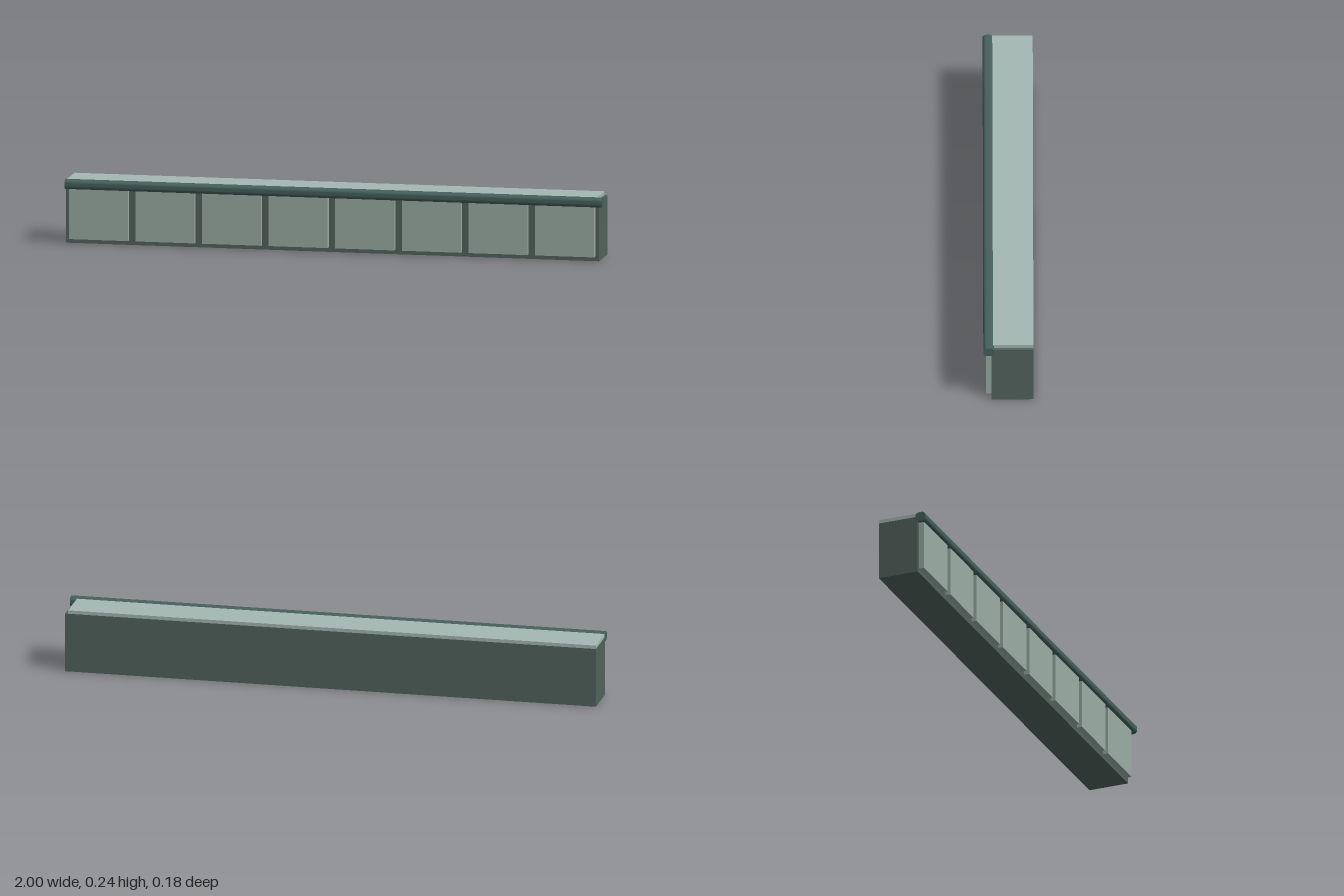
import * as THREE from 'three';

const paint = (color) => new THREE.MeshStandardMaterial({ color });

export function createModel() {
  const group = new THREE.Group();
  const bodyMat = paint(0x52635c), panelMat = paint(0x9aaca4);
  const topMat = paint(0xa5b8b2), railMat = paint(0x45605b);

  // Box given by its lower and upper corners
  const box = (name, mat, [x0, y0, z0], [x1, y1, z1]) => {
    const mesh = new THREE.Mesh(new THREE.BoxGeometry(x1 - x0, y1 - y0, z1 - z0), mat);
    mesh.position.set((x0 + x1) / 2, (y0 + y1) / 2, (z0 + z1) / 2);
    mesh.name = name;
    group.add(mesh);
  };

  // Eight counter sections, each with a raised front panel
  const count = 8, left = -1, pitch = 1.985 / count, margin = 0.014;
  for (let i = 0; i < count; i++) {
    const x0 = left + i * pitch, x1 = x0 + pitch;
    box('counterSection' + (i + 1), bodyMat, [x0, 0, -0.091], [x1, 0.22, 0.062]);
    box('frontPanel' + (i + 1), panelMat, [x0 + margin, 0.017, 0.06], [x1 - margin, 0.203, 0.082]);
  }

  // Worktop slab, slightly shorter than the body
  box('worktop', topMat, [-1, 0.22, -0.091], [0.974, 0.233, 0.062]);

  // Rounded rail along the front top edge
  const w = 0.0195, h = 0.0175, r = 0.013;
  const section = new THREE.Shape();
  section.moveTo(w, r - h);
  section.absarc(w - r, h - r, r, 0, Math.PI / 2);
  section.absarc(r - w, h - r, r, Math.PI / 2, Math.PI);
  section.absarc(r - w, r - h, r, Math.PI, Math.PI * 1.5);
  section.absarc(w - r, r - h, r, Math.PI * 1.5, Math.PI * 2);
  const railGeo = new THREE.ExtrudeGeometry(section, { depth: 2, bevelEnabled: false, curveSegments: 4 });
  railGeo.translate(0, 0, -1).rotateY(Math.PI / 2);
  const rail = new THREE.Mesh(railGeo, railMat);
  rail.position.set(0, 0.2195, 0.0725);
  rail.name = 'frontRail';
  group.add(rail);

  return group;
}
